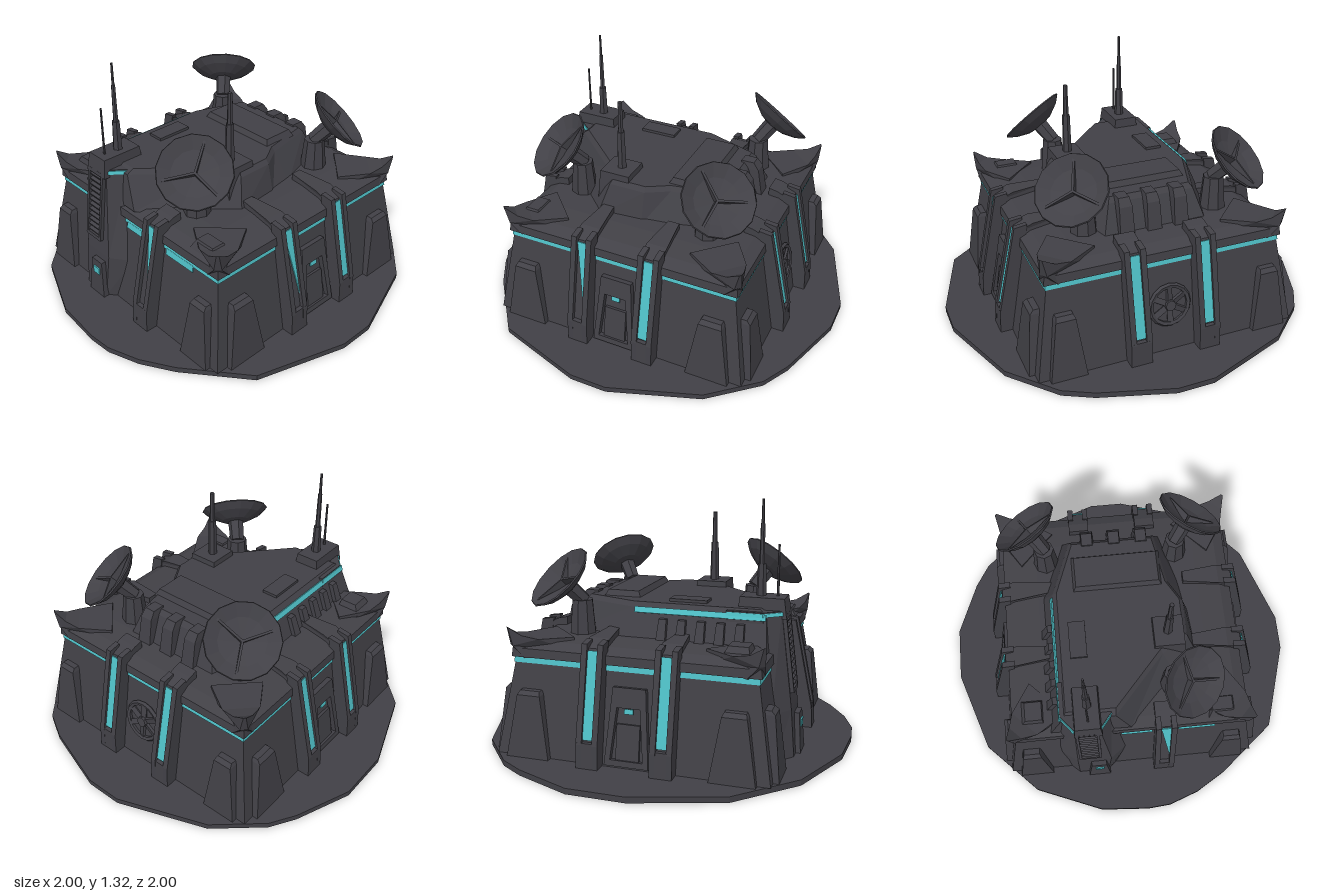
import * as THREE from 'three';

const hull = new THREE.MeshStandardMaterial({ color: 0x414046, flatShading: true });
hull.name = 'dark hull';
const glow = new THREE.MeshStandardMaterial({ color: 0x4fc0c7, flatShading: true });
glow.name = 'cyan light';

function add(parent, name, geo, mat = hull, x = 0, y = 0, z = 0) {
  const m = new THREE.Mesh(geo, mat);
  m.name = name;
  m.position.set(x, y, z);
  parent.add(m);
  return m;
}
const box = (w, h, d) => new THREE.BoxGeometry(w, h, d);
const rect = (x0, x1, z0, z1) => [[x0, z0], [x1, z0], [x1, z1], [x0, z1]];
const square = (h) => rect(-h, h, -h, h);

// Closed solid through stacked outlines: each ring is [y, [[x, z], ...]]
function loft(...rings) {
  const flat = (r) => r[1].map(([x, z]) => new THREE.Vector2(x, -z));
  if (THREE.ShapeUtils.area(flat(rings[0])) < 0) rings = rings.map(([y, p]) => [y, [...p].reverse()]);
  const out = [];
  const put = (r, i) => out.push(r[1][i][0], r[0], r[1][i][1]);
  for (let k = 0; k + 1 < rings.length; k++) {
    const a = rings[k], b = rings[k + 1], n = a[1].length;
    for (let i = 0; i < n; i++) {
      const j = (i + 1) % n;
      put(a, i); put(a, j); put(b, j);
      put(a, i); put(b, j); put(b, i);
    }
  }
  const low = rings[0], top = rings[rings.length - 1];
  for (const [i, j, k] of THREE.ShapeUtils.triangulateShape(flat(top), [])) { put(top, i); put(top, j); put(top, k); }
  for (const [i, j, k] of THREE.ShapeUtils.triangulateShape(flat(low), [])) { put(low, i); put(low, k); put(low, j); }
  const g = new THREE.BufferGeometry();
  g.setAttribute('position', new THREE.Float32BufferAttribute(out, 3));
  g.computeVertexNormals();
  return g;
}

// Side profile of [z, y] points, given a width along x
function profile(pts, w) {
  const g = new THREE.ExtrudeGeometry(new THREE.Shape(pts.map((p) => new THREE.Vector2(...p))), { depth: w, bevelEnabled: false });
  return g.rotateY(-Math.PI / 2).translate(w / 2, 0, 0);
}

// Buttress with a light strip between two flanges, facing +z; its arm runs over the roof to z = inner
function pillar(parent, x, inner, wedge) {
  const g = new THREE.Group();
  g.name = 'lightPillar';
  g.position.x = x;
  parent.add(g);
  const core = profile([[0.76, 0.03], [0.745, 0.17], [0.65, 0.61], [0.57, 0.645], [inner, 0.655], [inner, 0.55], [0.6, 0.5], [0.64, 0.03]], 0.11);
  const p = core.attributes.position;
  for (let i = 0; i < p.count; i++) if (p.getZ(i) < 0.45) p.setX(i, p.getX(i) * 0.55);
  core.computeVertexNormals();
  add(g, 'pillarCore', core);
  for (const s of [-1, 1]) {
    add(g, 'pillarFlange', profile([[0.775, 0.03], [0.77, 0.15], [0.668, 0.635], [0.6, 0.645], [0.68, 0.03]], 0.03), hull, s * 0.042);
  }
  add(g, 'pillarFoot', loft([0.03, rect(-0.055, 0.055, 0.65, 0.775)], [0.16, rect(-0.055, 0.055, 0.65, 0.768)]));
  // light plate lies on the sloping face
  const s = new THREE.Shape();
  s.moveTo(-0.027, 0.44);
  if (wedge) s.lineTo(wedge * 0.027, 0.07);
  else { s.lineTo(-0.027, 0); s.lineTo(0.027, 0); }
  s.lineTo(0.027, 0.44);
  const strip = add(g, 'pillarLight', new THREE.ExtrudeGeometry(s, { depth: 0.006, bevelEnabled: false }), glow, 0, 0.17, 0.748);
  strip.rotation.x = -0.213;
}

function leg(parent, x, w) {
  add(parent, 'cornerLeg', loft([0.03, rect(-w / 2, w / 2, 0.6, 0.74)], [0.35, rect(-w * 0.27, w * 0.27, 0.6, 0.705)],
    [0.37, rect(-w * 0.23, w * 0.23, 0.6, 0.685)]), hull, x);
}

function doorway(parent) {
  const s = new THREE.Shape([[-0.115, 0], [0.115, 0], [0.085, 0.39], [-0.085, 0.39]].map((p) => new THREE.Vector2(...p)));
  s.holes.push(new THREE.Path([[-0.085, 0.03], [-0.06, 0.29], [0.06, 0.29], [0.085, 0.03]].map((p) => new THREE.Vector2(...p))));
  add(parent, 'doorFrame', new THREE.ExtrudeGeometry(s, { depth: 0.045, bevelEnabled: false }), hull, 0, 0.04, 0.69).rotation.x = -0.16;
  add(parent, 'doorLeaf', box(0.12, 0.2, 0.03), hull, 0, 0.15, 0.69).rotation.x = -0.16;
  add(parent, 'doorLight', box(0.045, 0.025, 0.008), glow, 0, 0.315, 0.68).rotation.x = -0.16;
}

function fan(parent) {
  const g = new THREE.Group();
  g.name = 'wallFan';
  g.position.set(0, 0.28, 0.675);
  g.rotation.x = -0.16;
  parent.add(g);
  add(g, 'fanRing', new THREE.TorusGeometry(0.105, 0.014, 5, 16));
  add(g, 'fanHub', new THREE.CylinderGeometry(0.028, 0.035, 0.04, 8).rotateX(Math.PI / 2));
  for (let i = 0; i < 6; i++) add(g, 'fanBlade', box(0.03, 0.1, 0.014).translate(0, 0.055, 0).rotateY(0.3).rotateZ(i * Math.PI / 3));
}

function dish(parent, x, y, z) {
  const n = new THREE.Vector3(Math.sign(x) * 0.5, 0.71, Math.sign(z) * 0.5).normalize();
  const g = new THREE.Group();
  g.name = 'radarDish';
  g.position.set(x, y, z);
  g.quaternion.setFromUnitVectors(new THREE.Vector3(0, 1, 0), n);
  parent.add(g);
  const pts = [[0, -0.075], [0.08, -0.062], [0.15, -0.03], [0.192, 0.005], [0.188, 0.012], [0.12, -0.025], [0, -0.05]];
  add(g, 'dishBowl', new THREE.LatheGeometry(pts.map((p) => new THREE.Vector2(...p)), 14));
  for (let i = 0; i < 3; i++) {
    const fin = new THREE.Shape([[0, -0.055], [0.17, 0], [0, -0.01]].map((p) => new THREE.Vector2(...p)));
    add(g, 'dishFin', new THREE.ExtrudeGeometry(fin, { depth: 0.012, bevelEnabled: false }).translate(0, 0, -0.006).rotateY(i * Math.PI * 2 / 3));
  }
  add(g, 'dishNeck', new THREE.CylinderGeometry(0.045, 0.04, 0.12, 6), hull, 0, -0.12, 0);
  const foot = new THREE.Vector3(x, y, z).addScaledVector(n, -0.17);
  add(parent, 'dishPedestal', new THREE.CylinderGeometry(0.055, 0.075, foot.y - 0.57, 8), hull, foot.x, (foot.y + 0.57) / 2, foot.z);
}

// Mast of stacked sections: [radius, top height]
function mast(parent, x, z, y, sections) {
  for (const [r, top] of sections) {
    add(parent, 'antenna', new THREE.CylinderGeometry(r * 0.8, r, top - y, 6), hull, x, (top + y) / 2, z);
    y = top;
  }
}

export function createModel() {
  const root = new THREE.Group();
  root.name = 'outpost';

  // Ground plate
  const rim = [[-0.1, -1], [0.1, -1], [0.48, -0.88], [0.63, -0.8], [0.84, -0.56], [1, -0.1], [1, 0.1], [0.85, 0.58], [0.54, 0.83], [0.37, 0.93],
    [0.2, 0.99], [0.07, 1], [-0.2, 0.98], [-0.57, 0.83], [-0.85, 0.55], [-1, 0.1], [-1, -0.2], [-0.88, -0.5], [-0.8, -0.63], [-0.57, -0.83]];
  add(root, 'groundPlate', loft([0, rim], [0.03, rim]));

  // Walls, light band and roof
  add(root, 'walls', loft([0.03, square(0.71)], [0.54, square(0.625)]));
  add(root, 'wallLightBand', loft([0.5, square(0.637)], [0.528, square(0.633)]), glow);
  for (const [x, w] of [[0.03, 0.17], [0.36, 0.2]]) add(root, 'frontLight', box(w, 0.035, 0.008), glow, x, 0.488, 0.636).rotation.x = -0.16;
  add(root, 'roof', loft([0.53, square(0.645)], [0.575, square(0.64)], [0.605, square(0.58)], [0.62, square(0.45)]));

  // Upper block
  const upper = [[-0.36, 0.6], [-0.36, -0.1], [-0.25, -0.4], [0.22, -0.4], [0.27, -0.12], [0.34, 0], [0.34, 0.2], [0.2, 0.29], [-0.08, 0.6]];
  const foot = [[-0.43, 0.62], [-0.43, -0.14], [-0.3, -0.47], [0.27, -0.47], [0.36, -0.14], [0.38, 0], [0.4, 0.25], [0.28, 0.38], [0, 0.63]];
  add(root, 'upperBlock', loft([0.59, foot], [0.765, upper], [0.79, upper.map(([x, z]) => [x * 0.94, z * 0.94])]));
  add(root, 'roofPlate', loft([0.78, rect(-0.25, 0.24, -0.3, -0.09)], [0.82, rect(-0.23, 0.22, -0.28, -0.11)]));
  add(root, 'roofHatch', box(0.09, 0.02, 0.2), hull, -0.245, 0.795, 0.18);
  add(root, 'upperLight', box(0.008, 0.03, 0.68), glow, -0.371, 0.755, 0.26).rotation.z = -0.35;
  for (let i = 0; i < 5; i++) {
    add(root, 'sideRib', loft([0.6, rect(-0.45, -0.38, -0.025, 0.025)], [0.72, rect(-0.405, -0.36, -0.02, 0.02)]), hull, 0, 0, 0.08 + i * 0.1);
  }
  for (const x of [-0.15, 0, 0.15]) {
    add(root, 'backRib', loft([0.6, rect(-0.04, 0.04, -0.49, -0.4)], [0.76, rect(-0.035, 0.035, -0.46, -0.36)], [0.8, rect(-0.03, 0.03, -0.43, -0.36)]), hull, x);
  }

  // Front tower
  const hex = (l, r, zs, zf, c) => [[l, 0.4], [l, zs], [l + c, zf], [r - c, zf], [r, zs], [r, 0.4]];
  add(root, 'tower', loft([0.03, hex(-0.4, -0.05, 0.67, 0.75, 0.09)], [0.28, hex(-0.42, -0.01, 0.65, 0.73, 0.11)], [0.78, hex(-0.37, -0.1, 0.58, 0.665, 0.07)]));
  add(root, 'towerLight', loft([0.757, hex(-0.378, -0.093, 0.585, 0.673, 0.07)], [0.775, hex(-0.374, -0.096, 0.583, 0.67, 0.07)]), glow);
  add(root, 'towerCap', loft([0.74, rect(-0.305, -0.155, 0.44, 0.69)], [0.84, rect(-0.295, -0.165, 0.45, 0.675)]));
  add(root, 'towerBox', loft([0.03, rect(-0.255, -0.13, 0.7, 0.775)], [0.24, rect(-0.235, -0.15, 0.7, 0.76)]));
  add(root, 'towerLamp', box(0.05, 0.04, 0.008), glow, -0.19, 0.18, 0.766);
  const grille = new THREE.Group();
  grille.name = 'grille';
  grille.position.set(-0.235, 0.56, 0.696);
  grille.rotation.x = -0.13;
  root.add(grille);
  for (const s of [-1, 1]) {
    add(grille, 'grilleSide', box(0.015, 0.39, 0.035), hull, s * 0.055);
    add(grille, 'grilleEnd', box(0.12, 0.02, 0.035), hull, 0, s * 0.19);
  }
  for (let i = 0; i < 12; i++) add(grille, 'grilleSlat', box(0.1, 0.012, 0.025), hull, 0, -0.165 + i * 0.03).rotation.x = 0.5;

  // Four wall faces: front, left, back, right
  const faces = ['frontFace', 'leftFace', 'backFace', 'rightFace'].map((name, i) => {
    const g = new THREE.Group();
    g.name = name;
    g.rotation.y = i * Math.PI / 2;
    root.add(g);
    const side = i % 2;
    for (const s of [-1, 1]) leg(g, s * (side ? 0.53 : 0.56), side ? 0.23 : 0.19);
    if (side) doorway(g);
    return g;
  });
  pillar(faces[0], 0.185, 0.52, 1);
  pillar(faces[1], -0.19, 0.37, 1);
  pillar(faces[1], 0.185, 0.37);
  for (const x of [-0.19, 0.19]) {
    pillar(faces[2], x, 0.52);
    pillar(faces[3], x, 0.37);
  }
  fan(faces[2]);

  // Corner horns, narrowing to an upturned tip
  for (let i = 0; i < 4; i++) {
    const horn = profile([[0.93, 0.685], [0.91, 0.59], [0.86, 0.525], [0.62, 0.55], [0.62, 0.625], [0.8, 0.625], [0.87, 0.642]], 0.26);
    const p = horn.attributes.position;
    for (let k = 0; k < p.count; k++) p.setX(k, p.getX(k) * THREE.MathUtils.clamp((0.94 - p.getZ(k)) / 0.2, 0.05, 1));
    horn.computeVertexNormals();
    add(root, 'cornerHorn', horn).rotation.y = Math.PI / 4 + i * Math.PI / 2;
  }

  // Roof hatches
  add(root, 'roofVent', loft([0.59, rect(-0.6, -0.46, 0.43, 0.58)], [0.655, rect(-0.56, -0.47, 0.46, 0.56)]));
  add(root, 'roofVent', loft([0.59, rect(0.42, 0.58, 0.5, 0.62)], [0.635, rect(0.44, 0.55, 0.52, 0.59)]));

  // Dishes and antennas
  dish(root, -0.475, 0.915, -0.445);
  dish(root, 0.425, 0.9, -0.445);
  dish(root, 0.33, 0.92, 0.5);
  mast(root, -0.225, 0.545, 0.83, [[0.026, 1.0], [0.014, 1.2], [0.008, 1.32]]);
  mast(root, -0.225, 0.63, 0.83, [[0.007, 1.1]]);
  add(root, 'antennaBase', loft([0.6, rect(0.14, 0.34, 0.08, 0.28)], [0.82, rect(0.16, 0.32, 0.1, 0.265)]));
  mast(root, 0.235, 0.18, 0.81, [[0.026, 1.03], [0.015, 1.2]]);
  return root;
}
